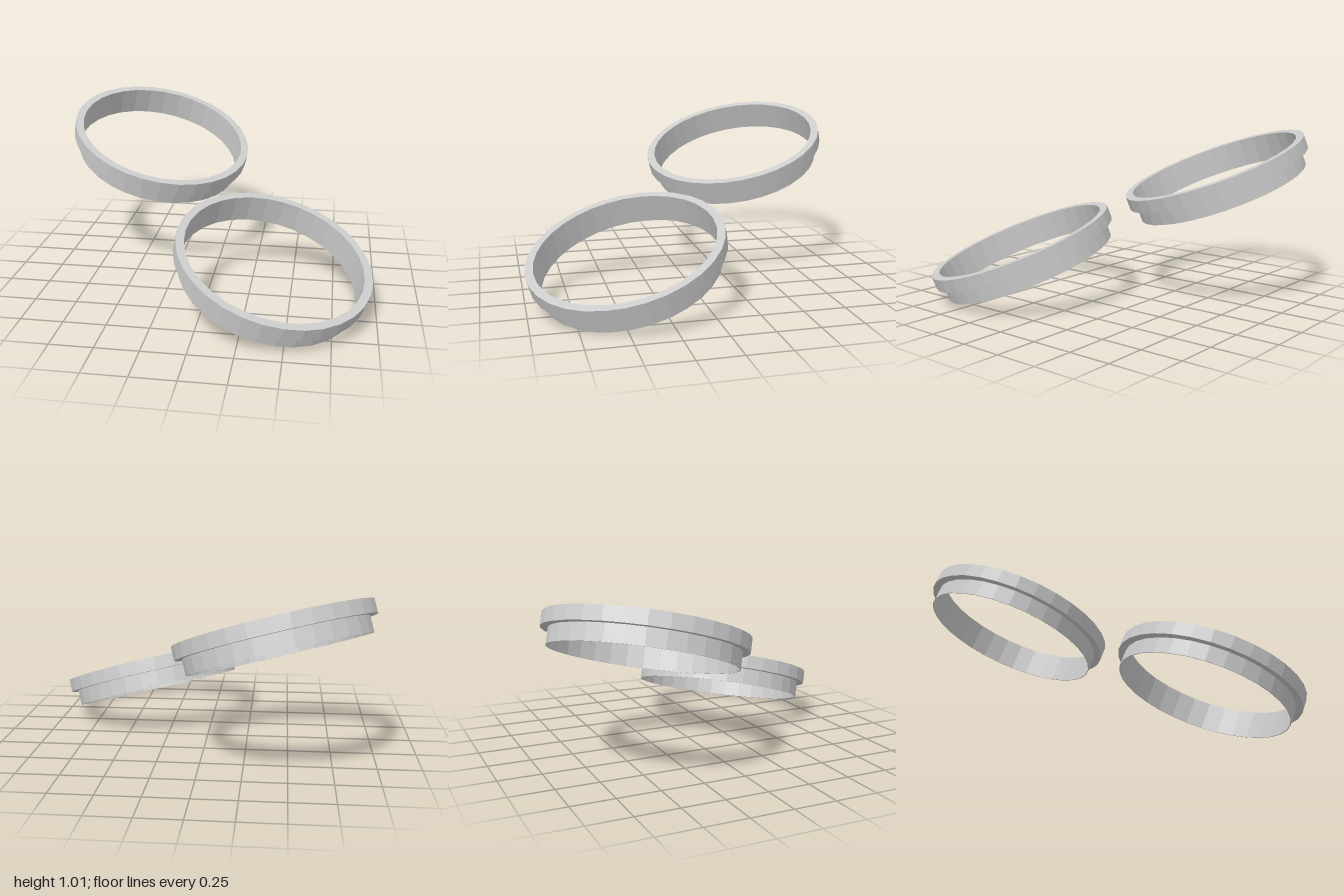
import * as THREE from 'three';

const SIDES = 32;
const RIM = 0.573;      // outer radius of the flange
const WALL = 0.53;      // outer radius of the lower band
const BORE = 0.525;     // inner radius
const HEIGHT = 0.175;
const FLANGE = 0.08;    // flange height

// Stepped ring, with its top rim at y = 0
function ringGeometry() {
  const profile = [
    [BORE, -HEIGHT], [WALL, -HEIGHT], [WALL, -FLANGE],
    [RIM, -FLANGE], [RIM, 0], [BORE, 0], [BORE, -HEIGHT],
  ].map(([r, y]) => new THREE.Vector2(r, y));
  return new THREE.LatheGeometry(profile, SIDES);
}

export function createModel() {
  const model = new THREE.Group();
  model.name = 'ringPair';
  const material = new THREE.MeshStandardMaterial({ color: 0xcccccc, flatShading: true });
  const geometry = ringGeometry();

  // Both rings lean the same way, towards the front left
  const axis = new THREE.Vector3(0.25, 0.935, 0.25).normalize();
  const tilt = new THREE.Quaternion().setFromUnitVectors(new THREE.Vector3(0, 1, 0), axis);

  const centres = { lowerRing: [0.415, 0.352, 0.445], upperRing: [-0.396, 0.805, -0.423] };
  for (const [name, centre] of Object.entries(centres)) {
    const ring = new THREE.Mesh(geometry, material);
    ring.name = name;
    ring.position.set(...centre);
    ring.quaternion.copy(tilt);
    model.add(ring);
  }
  return model;
}
